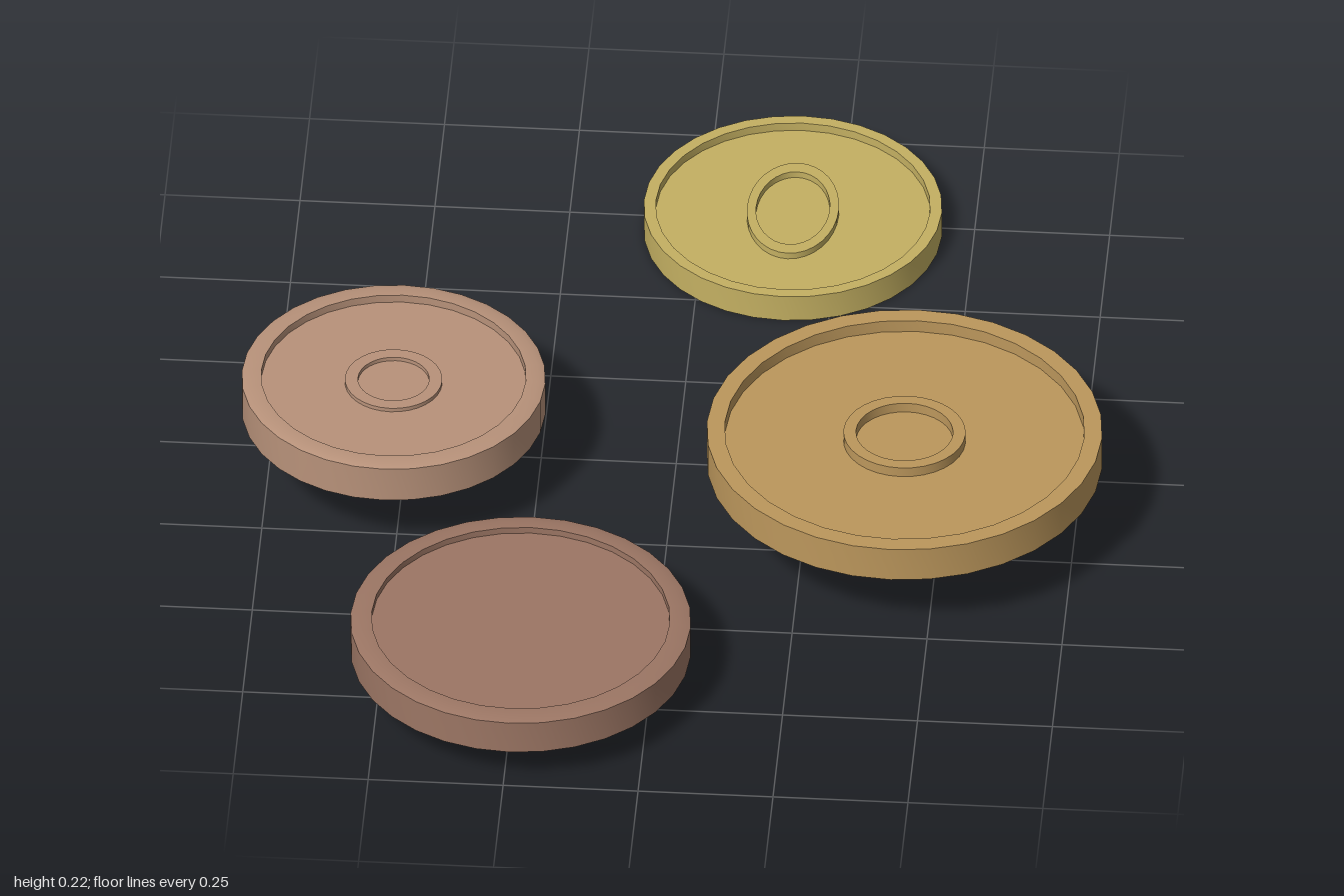
import * as THREE from 'three';
import { toCreasedNormals } from 'three/addons/utils/BufferGeometryUtils.js';

const SIDES = 32;

// Revolved profile, optionally stretched to an ellipse, with sharp edges kept
function turned(points, material, name, sx = 1, sz = 1) {
  const geometry = new THREE.LatheGeometry(points.map(([r, y]) => new THREE.Vector2(r, y)), SIDES);
  geometry.scale(sx, 1, sz);
  const mesh = new THREE.Mesh(toCreasedNormals(geometry, 0.4), material);
  mesh.name = name;
  return mesh;
}

// A coin recessed on both faces: raised rim, thin floor, optional central ring
function makeCoin({ name, color, x, y, z, radius, inner, height, depth, bevel = [0, 0], ring }) {
  const coin = new THREE.Group();
  coin.name = name;
  coin.position.set(x, y, z);
  const material = new THREE.MeshStandardMaterial({ color });
  const h = height / 2;
  const floor = h - depth;
  const [bw, bh] = bevel;

  // Upper half of the section, from the outer edge to the axis
  const half = [[radius, h - bh]];
  if (bw) half.push([radius - bw, h]);
  half.push([inner, h], [inner, floor], [0, floor]);
  const lower = half.map(([r, py]) => [r, -py]).reverse();
  coin.add(turned([...lower, ...half], material, 'coinBody'));

  // Central ring stands proud of the floor on both faces
  if (ring) {
    const { rx, rz, ix, iz, rise } = ring;
    const top = floor + rise;
    const k = (ix / rx + iz / rz) / 2;
    coin.add(turned([[k, -top], [1, -top], [1, top], [k, top], [k, -top]], material, 'centralRing', rx, rz));
  }
  return coin;
}

export function createModel() {
  const model = new THREE.Group();
  model.name = 'coins';
  const coins = [
    {
      name: 'yellowCoin', color: 0xc4b062, x: 0.165, y: 0.0275, z: -0.725,
      radius: 0.276, inner: 0.254, height: 0.055, depth: 0.017,
      ring: { rx: 0.085, rz: 0.138, ix: 0.066, iz: 0.114, rise: 0.013 },
    },
    {
      name: 'goldCoin', color: 0xbc975c, x: 0.433, y: 0.175, z: 0.142,
      radius: 0.366, inner: 0.333, height: 0.07, depth: 0.025,
      ring: { rx: 0.113, rz: 0.11, ix: 0.085, iz: 0.092, rise: 0.02 },
    },
    {
      name: 'copperCoin', color: 0xb8927a, x: -0.52, y: 0.175, z: 0.05,
      radius: 0.281, inner: 0.245, height: 0.08, depth: 0.016, bevel: [0.013, 0.004],
      ring: { rx: 0.09, rz: 0.09, ix: 0.066, iz: 0.066, rise: 0.008 },
    },
    {
      name: 'brownCoin', color: 0x9c7664, x: -0.24, y: 0.1075, z: 0.68,
      radius: 0.315, inner: 0.276, height: 0.077, depth: 0.013, bevel: [0.018, 0.005],
    },
  ];
  for (const coin of coins) model.add(makeCoin(coin));
  return model;
}
